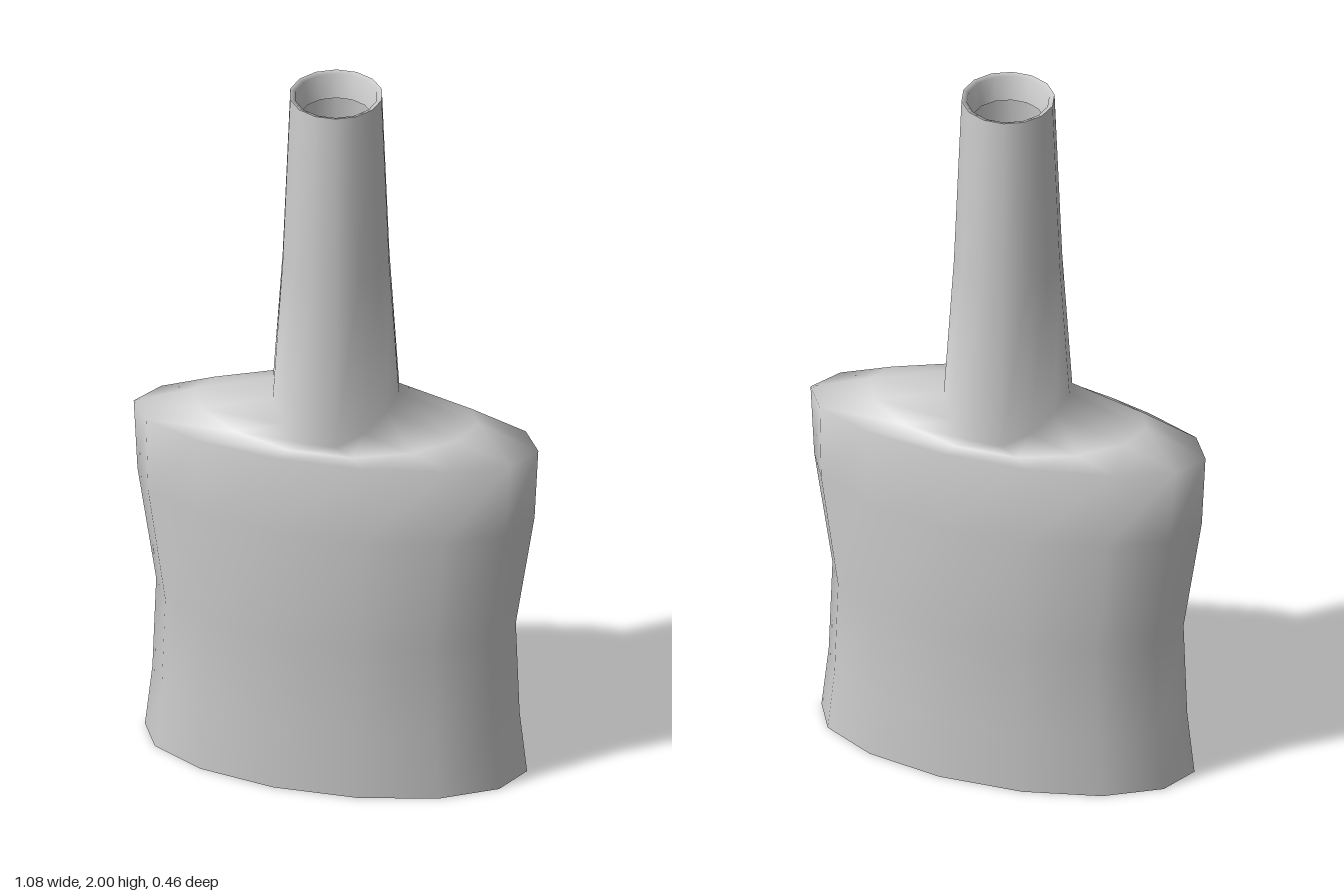
import * as THREE from 'three';

const SIDES = 14;

// Skin a stack of elliptical rings [rx, rz, ySide, yFront]; height blends from the sides to the front and back
function loft(rings) {
  const positions = [], index = [];
  for (const [rx, rz, ySide, yFront = ySide] of rings) {
    for (let i = 0; i < SIDES; i++) {
      const a = (i / SIDES) * Math.PI * 2;
      const s = Math.sin(a);
      positions.push(rx * Math.cos(a), ySide + (yFront - ySide) * s * s, rz * s);
    }
  }
  for (let j = 0; j < rings.length - 1; j++) {
    for (let i = 0; i < SIDES; i++) {
      const a = j * SIDES + i, b = j * SIDES + (i + 1) % SIDES;
      const c = a + SIDES, d = b + SIDES;
      index.push(a, c, b, b, c, d);
    }
  }
  const geometry = new THREE.BufferGeometry();
  geometry.setAttribute('position', new THREE.Float32BufferAttribute(positions, 3));
  geometry.setIndex(index);
  geometry.computeVertexNormals();
  return geometry;
}

export function createModel() {
  const group = new THREE.Group();
  group.name = 'bottle';
  const grey = new THREE.MeshStandardMaterial({ color: 0xcccccc, side: THREE.DoubleSide });
  grey.name = 'light grey';

  const add = (name, rings) => {
    const mesh = new THREE.Mesh(loft(rings), grey);
    mesh.name = name;
    group.add(mesh);
  };

  // Open-bottomed oval body, saddle-shaped shoulder and tapering neck in one smooth skin
  add('bodyAndNeck', [
    [0.51, 0.235, 0],
    [0.49, 0.229, 0.18],
    [0.48, 0.226, 0.45],
    [0.53, 0.235, 0.78],
    [0.54, 0.198, 0.985],
    [0.38, 0.184, 1.045, 1.005],
    [0.168, 0.17, 1.11, 1.02],
    [0.142, 0.142, 1.5],
    [0.122, 0.122, 2],
  ]);

  // Lip turned inwards at the mouth
  add('innerLip', [
    [0.122, 0.122, 2],
    [0.108, 0.108, 1.995],
    [0.095, 0.095, 1.93],
  ]);

  return group;
}
